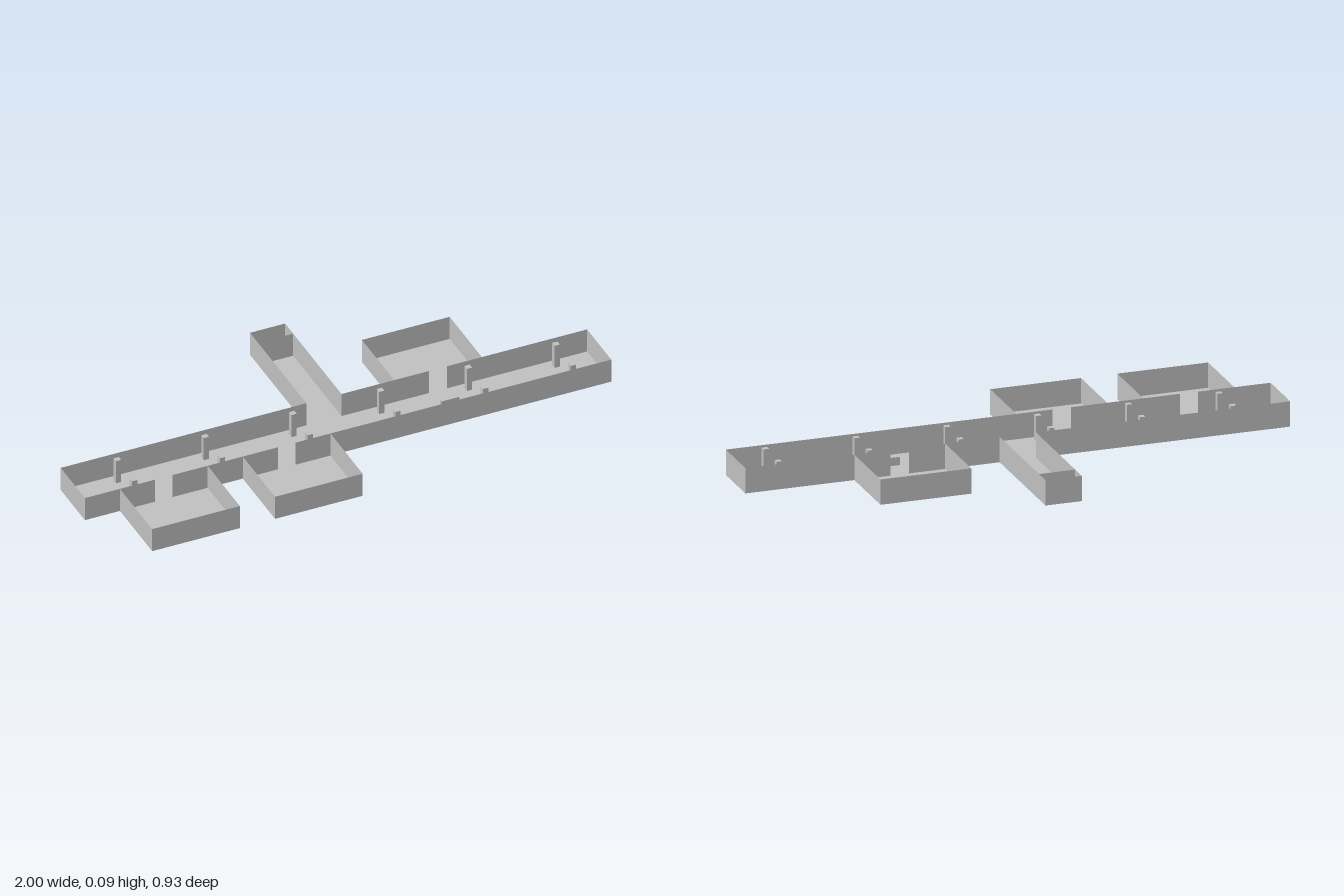
import * as THREE from 'three';

const H = 0.093; // wall height
const U = 1 / 15; // plan module

export function createModel() {
  const group = new THREE.Group();
  const grey = new THREE.MeshStandardMaterial({ color: 0xc0c0c0, side: THREE.DoubleSide });
  grey.name = 'plaster grey';

  const add = (name, geometry, x, y, z) => {
    const mesh = new THREE.Mesh(geometry, grey);
    mesh.name = name;
    mesh.position.set(x, y, z);
    group.add(mesh);
    return mesh;
  };

  // Thin floor slab between two plan corners, in modules
  const floor = (name, x0, z0, x1, z1) =>
    add(name, new THREE.PlaneGeometry((x1 - x0) * U, (z1 - z0) * U).rotateX(-Math.PI / 2),
      (x0 + x1) / 2 * U, 0, (z0 + z1) / 2 * U);

  // Thin upright wall between two plan points, in modules
  const wall = (name, x0, z0, x1, z1) => {
    const length = Math.hypot(x1 - x0, z1 - z0) * U;
    const mesh = add(name, new THREE.PlaneGeometry(length, H), (x0 + x1) / 2 * U, H / 2, (z0 + z1) / 2 * U);
    mesh.rotation.y = -Math.atan2(z1 - z0, x1 - x0);
  };

  // Main corridor
  floor('corridorFloor', -15, 0, 15, 3);
  wall('corridorEndWall', -15, 0, -15, 3);
  wall('corridorEndWall', 15, 0, 15, 3);

  // Long walls, broken by doorways and the passage mouth
  for (const [a, b] of [[-15, -1], [1, 6], [7, 15]]) wall('corridorBackWall', a, 0, b, 0);
  for (const [a, b] of [[-15, -11], [-10, -4], [-3, 15]]) wall('corridorFrontWall', a, 3, b, 3);

  // Side rooms: left edge, corridor side, far side
  for (const [x, near, far] of [[-13, 3, 7], [-6, 3, 7], [4, 0, -4]]) {
    floor('roomFloor', x, Math.min(near, far), x + 5, Math.max(near, far));
    wall('roomSideWall', x, near, x, far);
    wall('roomSideWall', x + 5, near, x + 5, far);
    wall('roomFarWall', x, far, x + 5, far);
  }

  // Narrow passage with a floorless closet at its end
  floor('passageFloor', -1, -6, 1, 0);
  for (const x of [-1, 1]) wall('passageSideWall', x, 0, x, -7);
  wall('passageDivider', -1, -6, 1, -6);
  wall('passageEndWall', -1, -7, 1, -7);

  // Two rows of square pillars
  const pillar = new THREE.BoxGeometry(0.02, H, 0.02);
  for (let i = 0; i < 6; i++)
    for (const z of [0.5, 2.5]) add('pillar', pillar, (-12 + 5 * i) * U, H / 2, z * U);

  // Low block in the corridor
  add('lowBlock', new THREE.BoxGeometry(U, 0.03, 0.013), 6.5 * U, 0.015, 0.097);

  return group;
}
